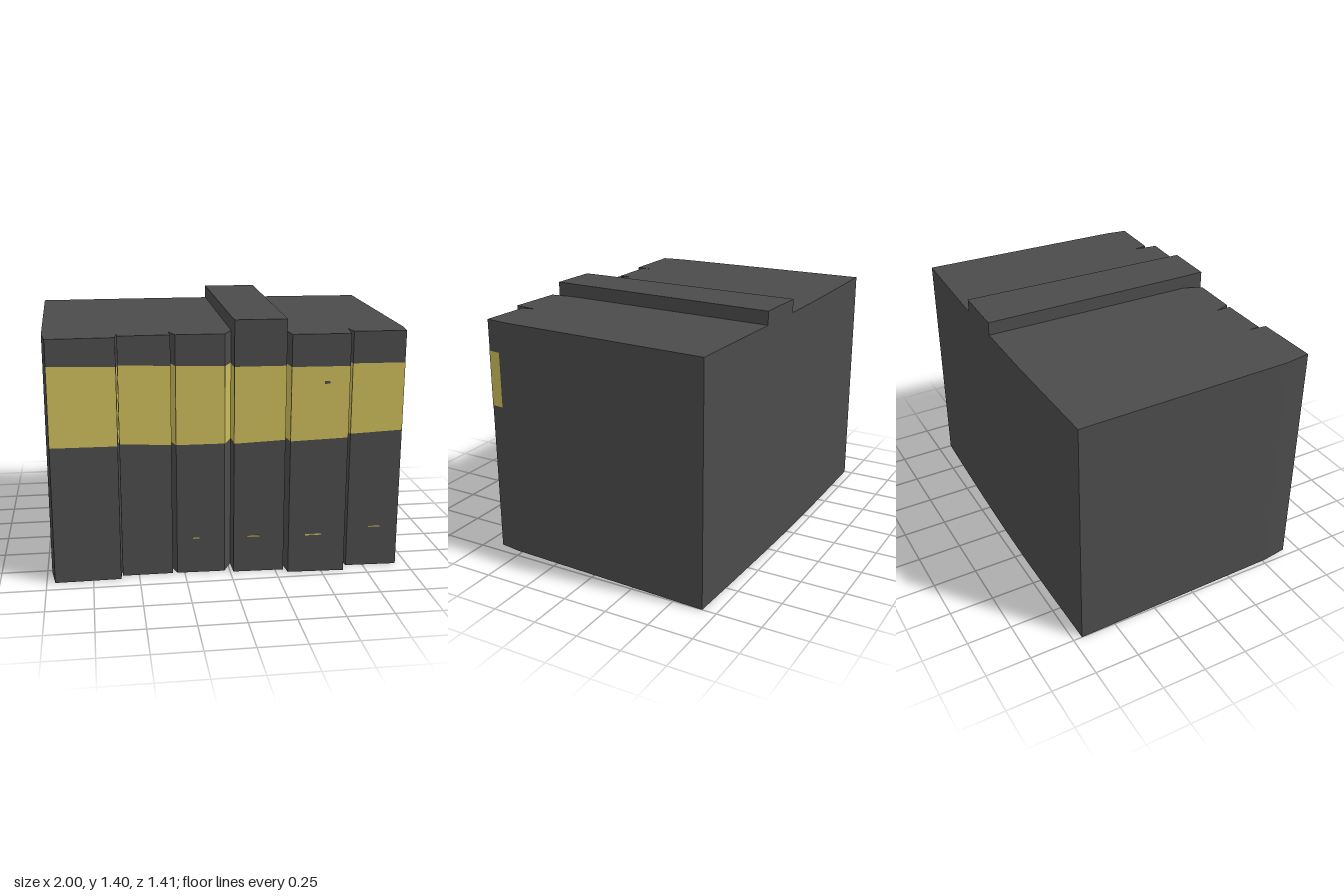
import * as THREE from 'three';

const cover = new THREE.MeshStandardMaterial({ color: 0x4b4b4b });
cover.name = 'charcoal cover';
const gold = new THREE.MeshStandardMaterial({ color: 0xcbbb5b });
gold.name = 'gold band';

// Plan points [x, z]: back seams and spine grooves are shared by neighbouring books
const backs = [[-1, -0.7], [-0.64, -0.704], [-0.32, -0.706], [0.03, -0.702], [0.34, -0.694], [0.67, -0.683], [1, -0.67]];
const grooves = [[-0.975, 0.52], [-0.59, 0.55], [-0.318, 0.53], [0.016, 0.53], [0.3, 0.54], [0.645, 0.56], [0.955, 0.53]];
const spines = [
  [[-0.955, 0.665], [-0.6, 0.66]],
  [[-0.59, 0.62], [-0.315, 0.62]],
  [[-0.29, 0.62], [-0.03, 0.626]],
  [[0.018, 0.645], [0.295, 0.652]],
  [[0.315, 0.688], [0.625, 0.702]],
  [[0.655, 0.642], [0.938, 0.652]],
];

// Height of a band edge at x, from a short list of [x, y]
function edgeAt(list, x) {
  for (let i = 1; i < list.length; i++) {
    const [x0, y0] = list[i - 1], [x1, y1] = list[i];
    if (x <= x1 || i === list.length - 1) {
      return THREE.MathUtils.lerp(y0, y1, THREE.MathUtils.clamp((x - x0) / (x1 - x0), 0, 1));
    }
  }
}
const bandTop = [[-0.96, 1.19], [-0.3, 1.167], [0, 1.158], [1, 1.158]];
const bandBottom = [[-0.96, 0.757], [-0.6, 0.754], [-0.29, 0.736], [-0.03, 0.737], [0.63, 0.768], [0.94, 0.785]];

// Upright ribbon lying just outside a plan path, walked from left to right
function ribbon(path, low, high) {
  const pos = [];
  for (let i = 1; i < path.length; i++) {
    const [ax, az] = path[i - 1], [bx, bz] = path[i];
    const len = Math.hypot(bx - ax, bz - az);
    const ox = -(bz - az) / len * 0.002, oz = (bx - ax) / len * 0.002;
    const a = [ax + ox, low(ax, az), az + oz], b = [bx + ox, low(bx, bz), bz + oz];
    const c = [bx + ox, high(bx), bz + oz], d = [ax + ox, high(ax), az + oz];
    pos.push(...a, ...b, ...c, ...a, ...c, ...d);
  }
  const g = new THREE.BufferGeometry();
  g.setAttribute('position', new THREE.Float32BufferAttribute(pos, 3));
  g.computeVertexNormals();
  return g;
}

export function createModel() {
  const group = new THREE.Group();
  group.name = 'bookRow';
  const add = (name, geometry, material) => {
    const mesh = new THREE.Mesh(geometry, material);
    mesh.name = name;
    group.add(mesh);
    return mesh;
  };

  spines.forEach(([left, right], i) => {
    // Book block; the fourth stands taller
    const plan = [backs[i], grooves[i], left, right, grooves[i + 1], backs[i + 1]];
    const shape = new THREE.Shape(plan.map(([x, z]) => new THREE.Vector2(x, -z)));
    const block = new THREE.ExtrudeGeometry(shape, { depth: i === 3 ? 1.405 : 1.33, bevelEnabled: false });
    add('book' + (i + 1), block.rotateX(-Math.PI / 2), cover);

    // Gold band across the spine and into the grooves
    const path = [left, right];
    if (i > 0) path.unshift(grooves[i]);
    if (i < 5) path.push(grooves[i + 1]);
    add('spineBand' + (i + 1), ribbon(path, x => edgeAt(bandBottom, x), x => edgeAt(bandTop, x)), gold);
  });

  // Band end wrapping round the outer cover of the last book
  add('bandEnd', ribbon([[0.938, 0.652], [0.948, 0.58]], () => 0.85, () => 1.158), gold);

  // Small flecks on the spines: x, y, z, width, height
  const fleck = (name, x, y, z, w, h, material) =>
    add(name, new THREE.BoxGeometry(w, h, 0.004), material).position.set(x, y, z);
  fleck('goldFleck1', -0.185, 0.201, 0.622, 0.035, 0.006, gold);
  fleck('goldFleck2', 0.125, 0.207, 0.649, 0.07, 0.006, gold);
  fleck('goldFleck3', 0.45, 0.218, 0.695, 0.09, 0.007, gold);
  fleck('goldFleck4', 0.805, 0.229, 0.648, 0.07, 0.006, gold);
  fleck('wornFleck', 0.505, 1.072, 0.698, 0.03, 0.014, cover);

  return group;
}
